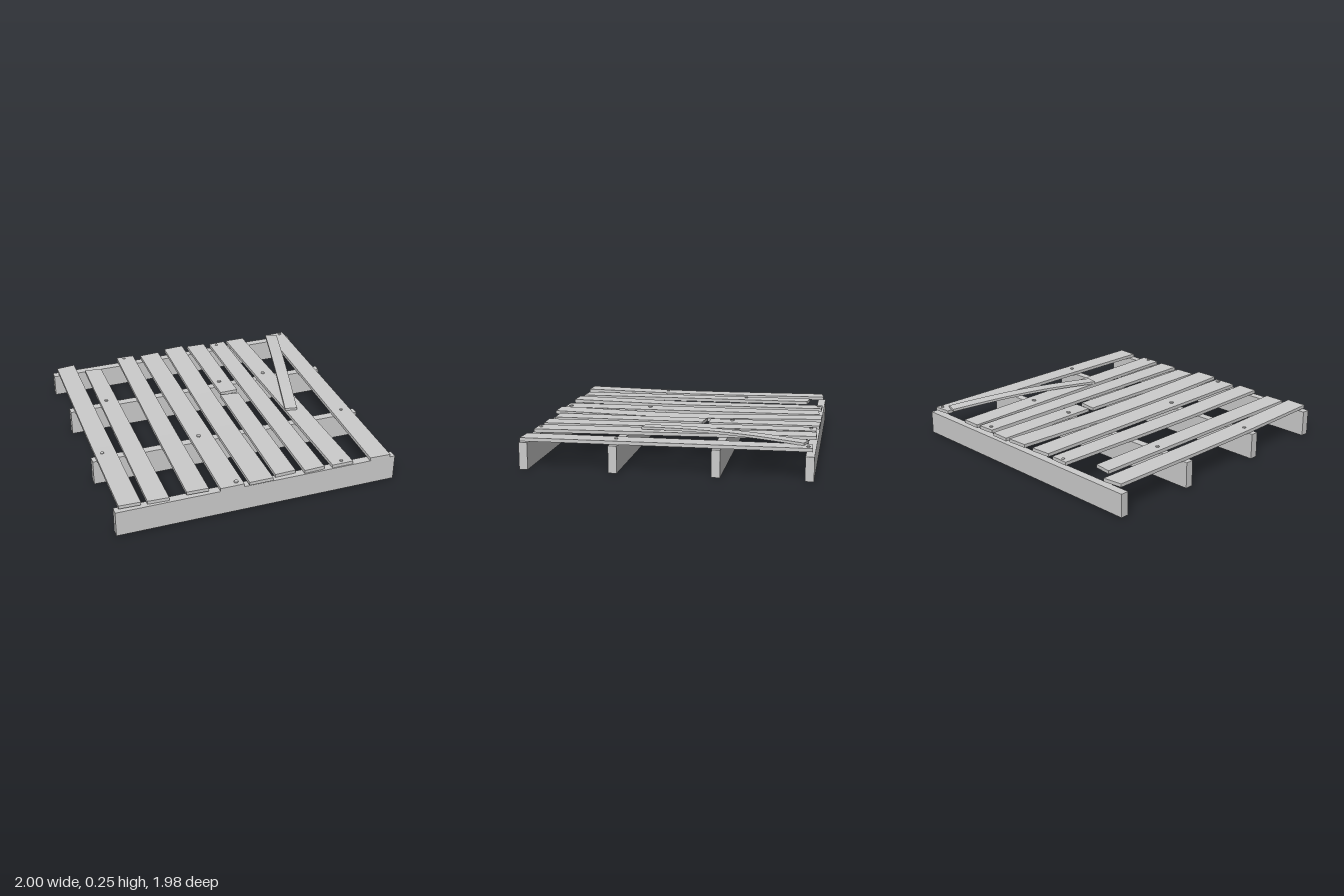
import * as THREE from 'three';

const material = new THREE.MeshStandardMaterial({ color: 0xcccccc, flatShading: true });
const BASE = 0.185; // top of the beams
const THICK = 0.024;

// Board from four plan corners [x, z]: back left, back right, front right, front left.
// height(t) gives the underside from the back end (t = 0) to the front end (t = 1).
function board(name, [bl, br, fr, fl], height, thick = THICK) {
  const geo = new THREE.BoxGeometry(1, 1, 1, 1, 1, 16);
  const pos = geo.attributes.position;
  const mix = THREE.MathUtils.lerp;
  for (let i = 0; i < pos.count; i++) {
    const u = pos.getX(i) + 0.5;
    const v = pos.getY(i) + 0.5;
    const t = pos.getZ(i) + 0.5;
    const x = mix(mix(bl[0], br[0], u), mix(fl[0], fr[0], u), t);
    const z = mix(mix(bl[1], br[1], u), mix(fl[1], fr[1], u), t);
    pos.setXYZ(i, x, height(t) + v * thick, z);
  }
  geo.computeVertexNormals();
  const mesh = new THREE.Mesh(geo, material);
  mesh.name = name;
  return mesh;
}

export function createModel() {
  const group = new THREE.Group();

  // Four beams; the rear one is lower
  [[0.951, 0.185], [0.34, 0.185], [-0.348, 0.185], [-0.955, 0.163]].forEach(([z, h], i) => {
    const beam = new THREE.Mesh(new THREE.BoxGeometry(2, h, 0.058), material);
    beam.position.set(0, h / 2, z);
    beam.name = `beam${i + 1}`;
    group.add(beam);
  });

  // Planks: back [x0, x1, z0, z1], front [x0, x1, z0, z1], [back lift, front lift, sag]
  const planks = [
    [[-0.968, -0.829, -0.957, -0.973], [-0.973, -0.823, 0.965, 0.97], [0.005, 0.015, 0]],
    [[-0.765, -0.639, -0.866, -0.85], [-0.778, -0.631, 0.957, 0.963], [0, 0, 0]],
    [[-0.479, -0.345, -0.976, -0.973], [-0.513, -0.361, 0.963, 0.968], [0.004, 0.014, 0]],
    [[-0.286, -0.136, -0.957, -0.968], [-0.283, -0.115, 0.981, 0.981], [0, 0, 0]],
    [[-0.075, 0.078, -0.984, -0.992], [-0.083, 0.086, 0.992, 0.992], [0.01, 0.011, 0.009]],
    [[0.12, 0.262, -0.987, -0.984], [0.131, 0.265, -0.193, -0.195], [0, 0, 0]],
    [[0.12, 0.259, -0.163, -0.147], [0.118, 0.267, 0.949, 0.944], [0, 0, 0]],
    [[0.305, 0.433, -0.963, -0.971], [0.324, 0.471, 0.971, 0.965], [0, 0, 0]],
    [[0.457, 0.602, -0.976, -0.976], [0.529, 0.682, 0.973, 0.973], [0, 0, 0]],
    [[0.829, 0.957, -0.96, -0.971], [0.81, 0.96, 0.979, 0.984], [0, 0, 0]],
  ];
  planks.forEach(([b, f, [backLift, frontLift, sag]], i) => {
    const corners = [[b[0], b[2]], [b[1], b[3]], [f[1], f[3]], [f[0], f[2]]];
    const height = (t) => BASE - sag * Math.sin(Math.PI * t)
      + backLift * Math.max(0, 1 - t * 2.5) + frontLift * Math.max(0, t * 2.5 - 1.5);
    group.add(board(`plank${i + 1}`, corners, height));
  });

  // Loose bowed slat lying across the others
  group.add(board('looseSlat',
    [[0.791, -0.936], [0.88, -0.909], [0.58, 0.23], [0.492, 0.214]],
    (t) => 0.207 + 0.004 * t + 0.02 * Math.sin(Math.PI * t), 0.018));

  // Nail heads [x, z, radius]
  const nails = [
    [-0.92, 0.32, 0.013], [-0.72, -0.36, 0.013], [-0.425, -0.95, 0.012],
    [-0.22, 0.33, 0.016], [-0.16, 0.94, 0.016], [0.175, -0.355, 0.015],
    [0.354, -0.93, 0.012], [0.545, -0.37, 0.015], [0.605, 0.945, 0.012],
    [0.89, 0.335, 0.012], [0.92, -0.94, 0.012],
  ];
  nails.forEach(([x, z, r], i) => {
    const nail = new THREE.Mesh(new THREE.CylinderGeometry(r, r, 0.014, 6), material);
    nail.position.set(x, BASE + THICK + 0.001, z);
    nail.name = `nail${i + 1}`;
    group.add(nail);
  });

  return group;
}
